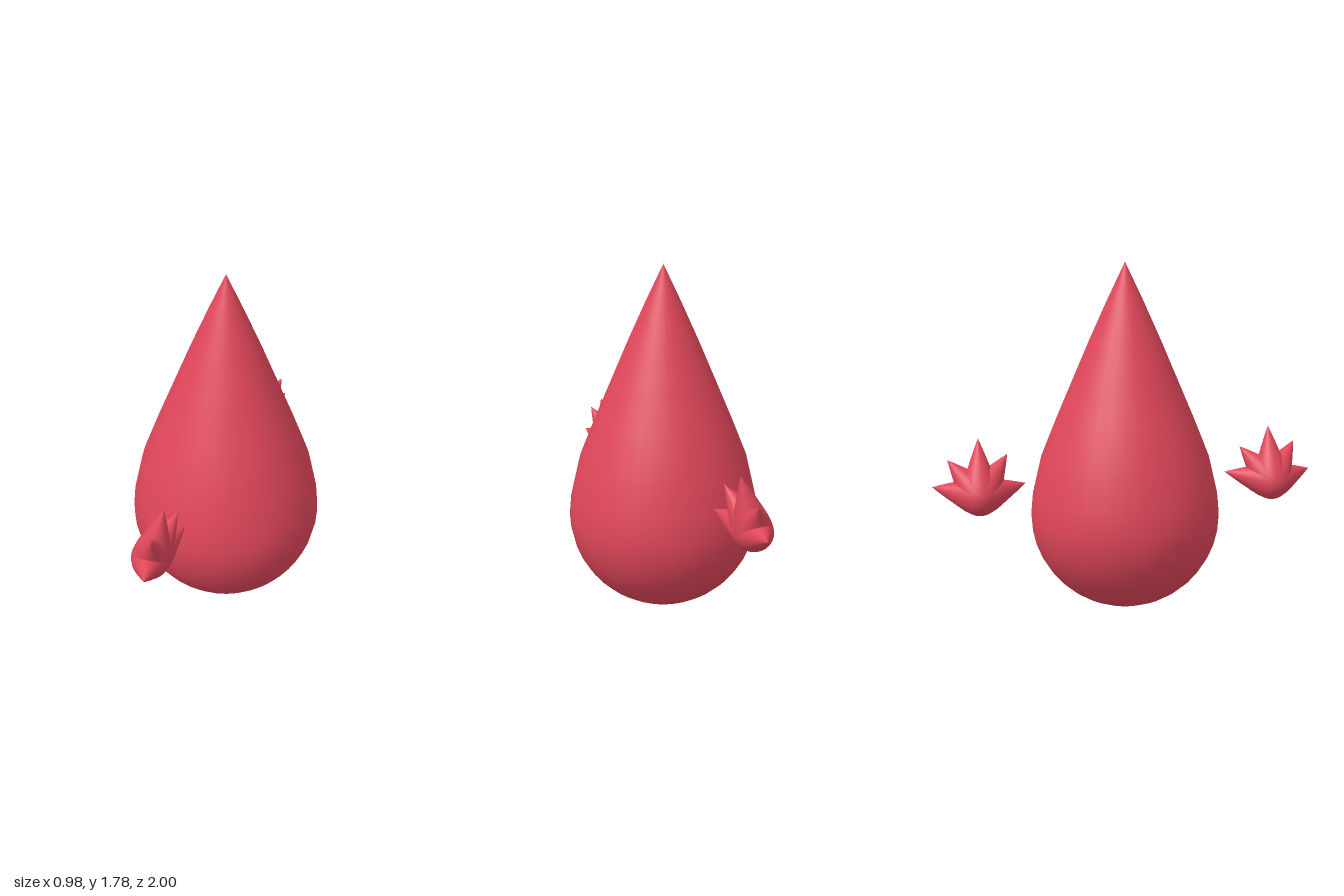
import * as THREE from 'three';

const material = new THREE.MeshStandardMaterial({ color: 0xdf4659 });

// Upper half of the teardrop: [radius, height], both as fractions
const TAPER = [[0.98, 0.08], [0.885, 0.233], [0.72, 0.388], [0.545, 0.543], [0.37, 0.698], [0.185, 0.853], [0, 1]];

// Teardrop with its round bulb centred on the origin and its tip at (0, length, 0)
function teardrop(name, radius, length, segments) {
  const points = [];
  for (let i = 0; i <= 10; i++) {
    const a = (i / 10) * Math.PI / 2;
    points.push(new THREE.Vector2(radius * Math.sin(a), -radius * Math.cos(a)));
  }
  for (const [r, h] of TAPER) points.push(new THREE.Vector2(r * radius, h * length));
  const mesh = new THREE.Mesh(new THREE.LatheGeometry(points, segments), material);
  mesh.name = name;
  return mesh;
}

// Hand: five teardrops sharing one bulb and fanning out to their tips
function createHand(name) {
  const hand = new THREE.Group();
  hand.name = name;
  const up = new THREE.Vector3(0, 1, 0);
  const tips = [
    [0.075, 0.045, 0.235],
    [0.075, 0.2, 0.145],
    [0.075, 0.285, 0],
    [0.075, 0.18, -0.155],
    [0.075, 0.045, -0.235],
  ];
  tips.forEach((tip, i) => {
    const v = new THREE.Vector3(...tip);
    const finger = teardrop(`finger${i + 1}`, 0.095, v.length(), 32);
    finger.quaternion.setFromUnitVectors(up, v.normalize());
    hand.add(finger);
  });
  return hand;
}

export function createModel() {
  const model = new THREE.Group();
  model.name = 'dropletFigure';

  // Body
  const body = teardrop('body', 0.49, 1.29, 32);
  body.position.set(0, 0.5, -0.01);
  model.add(body);

  // Floating hands in front of and behind the body
  const frontHand = createHand('frontHand');
  frontHand.position.set(-0.075, 0.645, 0.763);
  const backHand = createHand('backHand');
  backHand.position.set(-0.075, 0.635, -0.763);
  model.add(frontHand, backHand);

  return model;
}
